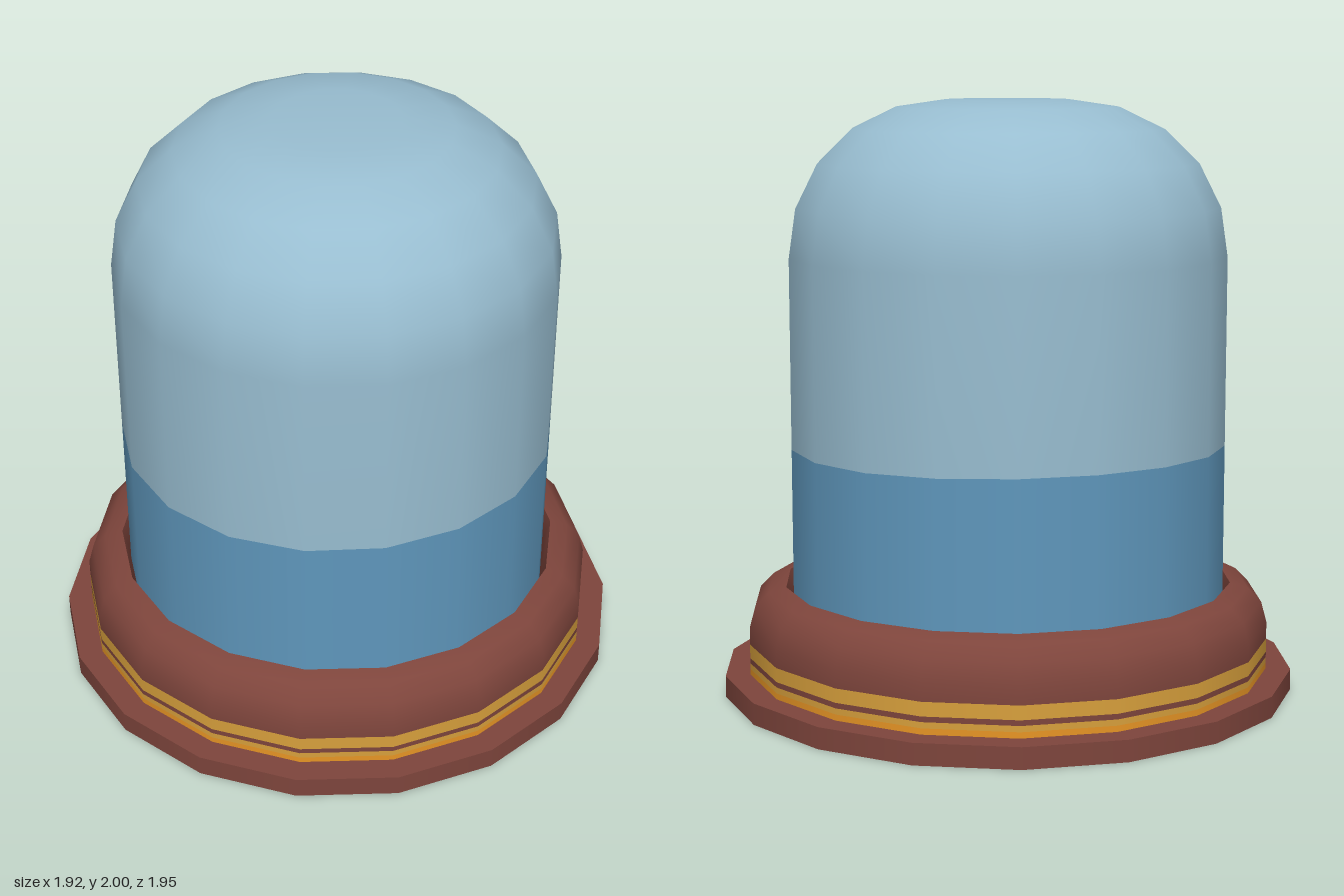
import * as THREE from 'three';

const SIDES = 18;

function material(name, color) {
  const m = new THREE.MeshStandardMaterial({ color });
  m.name = name;
  return m;
}

export function createModel() {
  const group = new THREE.Group();
  group.name = 'domedJar';
  const glass = material('paleBlue', 0x98bdd0);
  const water = material('waterBlue', 0x5f97bc);
  const wood = material('redBrown', 0x7e453c);
  const gold = material('gold', 0xd8a03c);
  const orange = material('orange', 0xec9826);

  function add(name, geometry, mat) {
    const mesh = new THREE.Mesh(geometry, mat);
    mesh.name = name;
    group.add(mesh);
    return mesh;
  }
  // Revolves [radius, height] points around the y axis, bottom to top
  function turned(name, points, mat) {
    const profile = points.map(([r, y]) => new THREE.Vector2(r, y));
    return add(name, new THREE.LatheGeometry(profile, SIDES), mat);
  }
  // Bends the line where liquid meets clear glass
  const LEVEL = 0.847;
  function waveLevel(mesh) {
    const p = mesh.geometry.attributes.position;
    for (let i = 0; i < p.count; i++) {
      if (Math.abs(p.getY(i) - LEVEL) < 1e-4) {
        p.setY(i, LEVEL + 0.008 * Math.cos(2 * Math.atan2(p.getX(i), p.getZ(i))));
      }
    }
  }

  // Foot plate
  const foot = add('footPlate', new THREE.CylinderGeometry(0.975, 0.975, 0.072, SIDES), wood);
  foot.position.y = 0.036;

  // Stacked trim bands round the base
  const bands = [
    ['orangeTrim', 0.072, 0.092, orange],
    ['lowerGoldTrim', 0.092, 0.112, gold],
    ['trimGroove', 0.112, 0.13, wood],
    ['upperGoldTrim', 0.13, 0.177, gold],
  ];
  for (const [name, y0, y1, mat] of bands) turned(name, [[0.891, y0], [0.891, y1]], mat);

  // Rounded collar with its inner wall
  turned('collar', [[0.891, 0.177], [0.891, 0.235], [0.872, 0.305], [0.825, 0.353], [0.765, 0.369]], wood);
  turned('collarInnerWall', [[0.765, 0.369], [0.746, 0.3], [0.746, 0.072]], wood);

  // Liquid-filled lower part of the jar
  waveLevel(turned('lowerJar', [[0.74, 0.072], [0.74, LEVEL]], water));

  // Clear dome
  waveLevel(turned('dome', [
    [0.74, LEVEL], [0.74, 1.48], [0.716, 1.645], [0.643, 1.79],
    [0.527, 1.903], [0.378, 1.975], [0.208, 2.0], [0, 2.0],
  ], glass));

  return group;
}
